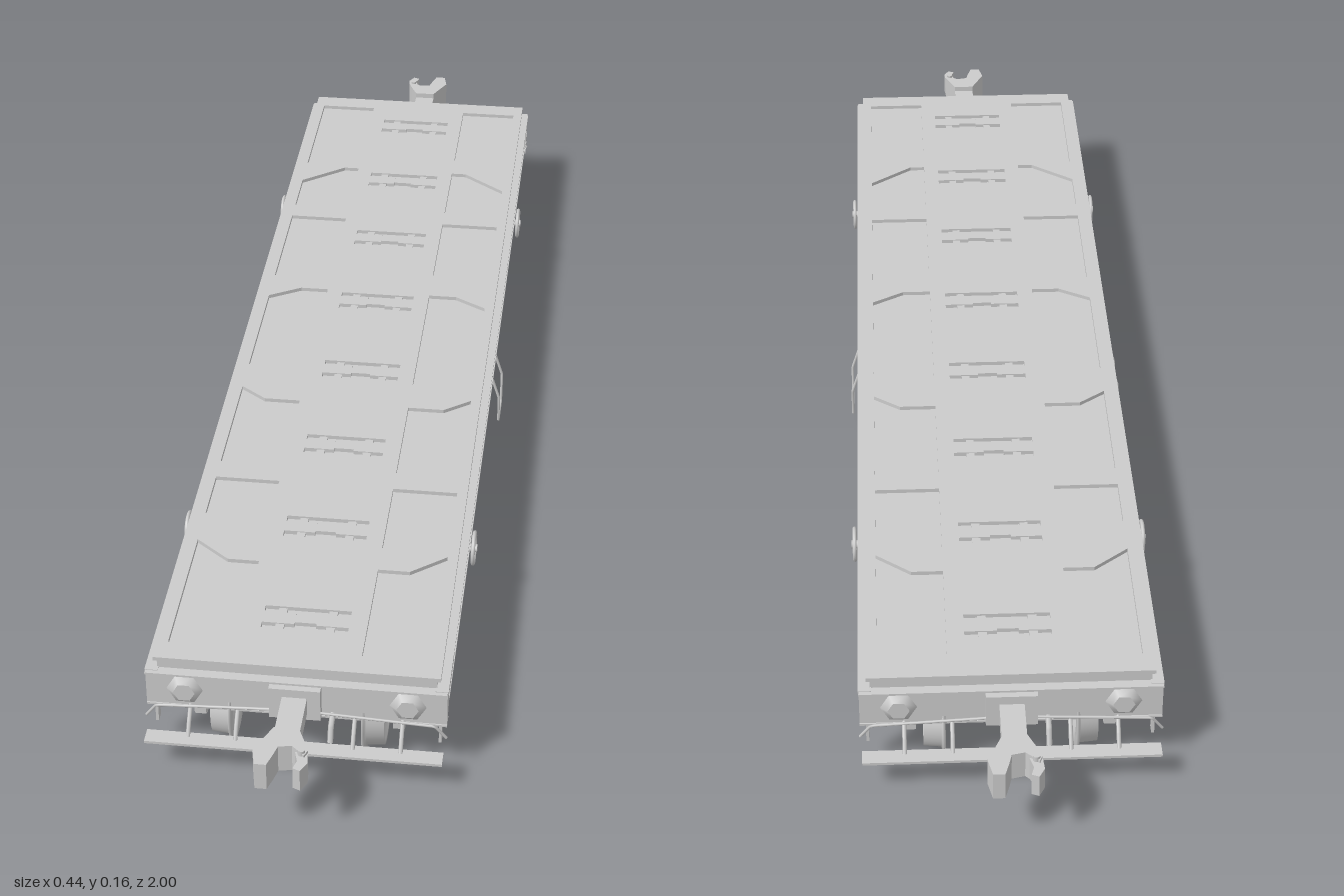
import * as THREE from 'three';

const grey = new THREE.MeshStandardMaterial({ color: 0xcccccc, side: THREE.DoubleSide });

function add(parent, name, geometry, x = 0, y = 0, z = 0) {
  const mesh = new THREE.Mesh(geometry, grey);
  mesh.name = name;
  mesh.position.set(x, y, z);
  parent.add(mesh);
  return mesh;
}
const box = (parent, name, w, h, d, x, y, z) => add(parent, name, new THREE.BoxGeometry(w, h, d), x, y, z);
const points = (list) => list.map(([x, y]) => new THREE.Vector2(x, y));
const shapeOf = (list) => new THREE.Shape(points(list));
const extrude = (shape, depth) => new THREE.ExtrudeGeometry(shape, { depth, bevelEnabled: false, curveSegments: 12 });
// Plan shape (x, z) laid flat, thickness upwards
const flat = (shape, depth) => extrude(shape, depth).rotateX(-Math.PI / 2);
// Side profile (z, y) extruded along x
const side = (shape, depth) => extrude(shape, depth).rotateY(-Math.PI / 2).translate(depth / 2, 0, 0);
// Cylinder whose axis runs along x
const roller = (r, length, segments = 24) => new THREE.CylinderGeometry(r, r, length, segments).rotateZ(Math.PI / 2);
const tube = (pts, r, closed = false) => {
  const path = new THREE.CurvePath();
  const v = pts.map((p) => new THREE.Vector3(...p));
  for (let i = 0; i < v.length - 1; i++) path.add(new THREE.LineCurve3(v[i], v[i + 1]));
  if (closed) path.add(new THREE.LineCurve3(v[v.length - 1], v[0]));
  return new THREE.TubeGeometry(path, v.length * 10, r, 6, closed);
};

function buildDeck(group) {
  const plate = shapeOf([[-0.195, -0.835], [0.195, -0.835], [0.195, 0.835], [-0.195, 0.835]]);
  // Pockets along both edges, mirrored in x and z
  const pockets = [
    [[0.085, 0.61], [0.13, 0.61], [0.18, 0.57], [0.18, 0.8], [0.085, 0.8]],
    [[0.085, 0.415], [0.18, 0.415], [0.18, 0.505], [0.11, 0.56], [0.085, 0.56]],
    [[0.085, 0.2], [0.14, 0.2], [0.18, 0.17], [0.18, 0.375], [0.085, 0.375]],
  ];
  const middle = [[0.085, -0.135], [0.13, -0.135], [0.18, -0.105], [0.18, 0.105], [0.13, 0.135], [0.085, 0.135]];
  const hole = (list, sx, sz) => plate.holes.push(new THREE.Path(points(list.map(([x, z]) => [x * sx, z * sz]))));
  for (const sx of [-1, 1]) {
    for (const sz of [-1, 1]) pockets.forEach((p) => hole(p, sx, sz));
    hole(middle, sx, 1);
  }
  // Paired lashing slots joined by two webs, down the centre line
  const half = [[0, 0.008], [0.015, 0.008], [0.015, 0.012], [0.06, 0.012], [0.06, 0.024], [0, 0.024]];
  for (let i = 0; i < 8; i++) {
    const z = (i - 3.5) * 0.209;
    for (const s of [-1, 1]) {
      const h = half.map(([x, y]) => [x, z + s * y]);
      const left = half.slice(1, 5).reverse().map(([x, y]) => [-x, z + s * y]);
      hole([...h.slice(1, 5), ...left], 1, 1);
    }
    for (const x of [-0.035, 0.035]) box(group, 'lashingBar', 0.012, 0.005, 0.045, x, 0.157, z);
  }
  add(group, 'deckPlate', flat(plate, 0.006), 0, 0.155, 0);
  box(group, 'deckFloor', 0.38, 0.014, 1.664, 0, 0.148, 0);
}

function buildFrame(group) {
  box(group, 'underfloor', 0.4, 0.004, 1.66, 0, 0.14, 0);
  box(group, 'centreSill', 0.09, 0.045, 1.66, 0, 0.117, 0);
  // Fishbelly spine, shorter along its bottom edge
  const spine = extrude(shapeOf([[-0.078, 0.024], [0.078, 0.024], [0.115, 0.14], [-0.115, 0.14]]), 1).translate(0, 0, -0.5);
  const p = spine.attributes.position;
  for (let i = 0; i < p.count; i++) if (p.getY(i) < 0.1) p.setZ(i, p.getZ(i) * 0.86);
  spine.computeVertexNormals();
  add(group, 'fishbellySpine', spine);
  for (const s of [-1, 1]) {
    // Channel shaped side sill
    box(group, 'sideSillWeb', 0.006, 0.024, 1.67, s * 0.196, 0.13, 0);
    box(group, 'sideSillTopFlange', 0.018, 0.004, 1.68, s * 0.197, 0.141, 0);
    box(group, 'sideSillBottomFlange', 0.016, 0.004, 1.64, s * 0.198, 0.118, 0);
    // Low side rail hung on posts
    box(group, 'lowerSideRail', 0.005, 0.012, 0.92, s * 0.198, 0.079, 0);
    box(group, 'lowerRailLip', 0.014, 0.003, 0.92, s * 0.194, 0.074, 0);
    for (const z of [-0.44, -0.37, -0.26, -0.15, -0.05, 0.05, 0.15, 0.26, 0.37, 0.44])
      box(group, 'railPost', 0.005, 0.038, Math.abs(z) === 0.44 ? 0.04 : 0.025, s * 0.198, 0.1, z);
    // Tapered cross bearers with foot flanges
    for (let i = -3; i <= 3; i++) {
      const z = i * 0.148;
      const web = extrude(shapeOf([[0, 0.022], [s * 0.085, 0.022], [s * 0.195, 0.1], [s * 0.195, 0.14], [0, 0.14]]), 0.006);
      add(group, 'crossBearer', web, 0, 0, z - 0.003);
      const flange = box(group, 'bearerFlange', 0.135, 0.003, 0.022, s * 0.14, 0.061, z);
      flange.rotation.z = s * Math.atan2(0.078, 0.11);
    }
    // Step loop at mid length
    add(group, 'stepLoop', tube([[s * 0.203, 0.12, 0.035], [s * 0.216, 0.08, 0.035], [s * 0.216, 0.032, 0.03],
      [s * 0.216, 0.032, -0.03], [s * 0.216, 0.08, -0.035], [s * 0.203, 0.12, -0.035]], 0.0022));
    // Brake handwheels
    for (const z of [-0.48, 0.48]) {
      add(group, 'handwheelRim', new THREE.TorusGeometry(0.023, 0.003, 8, 28).rotateY(Math.PI / 2), s * 0.211, 0.112, z);
      add(group, 'handwheelHub', roller(0.006, 0.02, 12), s * 0.206, 0.112, z);
      for (let k = 0; k < 2; k++) {
        const spoke = box(group, 'handwheelSpoke', 0.003, 0.045, 0.004, s * 0.211, 0.112, z);
        spoke.rotation.x = (k + 0.5) * Math.PI / 2;
      }
    }
    for (const z of [-0.64, -0.3, 0.3, 0.64]) box(group, 'stakeBracket', 0.006, 0.014, 0.012, s * 0.202, 0.13, z);
  }
  // Brake gear beside the spine
  add(group, 'brakeReservoir', new THREE.CylinderGeometry(0.022, 0.022, 0.1, 20).rotateX(Math.PI / 2), 0.155, 0.105, 0.22);
  add(group, 'brakeCylinder', new THREE.CylinderGeometry(0.02, 0.02, 0.08, 20).rotateX(Math.PI / 2), -0.155, 0.105, -0.22);
}

function buildBogie() {
  const bogie = new THREE.Group();
  bogie.name = 'bogie';
  const wheelProfile = points([[0.012, -0.016], [0.02, -0.016], [0.024, -0.008], [0.044, -0.008], [0.046, -0.014],
    [0.054, -0.014], [0.056, 0.01], [0.064, 0.012], [0.064, 0.016], [0.044, 0.016], [0.04, 0.006], [0.02, 0.006], [0.012, 0.016]]);
  // Cast side frame with raised centre and a spring window
  const frame = shapeOf([[-0.155, 0.05], [-0.145, 0.044], [-0.1, 0.044], [-0.06, 0.026], [0.06, 0.026], [0.1, 0.044],
    [0.145, 0.044], [0.155, 0.05], [0.155, 0.082], [0.1, 0.094], [0.06, 0.106], [-0.06, 0.106], [-0.1, 0.094], [-0.155, 0.082]]);
  frame.holes.push(new THREE.Path(points([[-0.045, 0.04], [0.045, 0.04], [0.045, 0.084], [-0.045, 0.084]])));
  for (const z of [-0.124, 0.124]) {
    add(bogie, 'axle', roller(0.013, 0.29), 0, 0.065, z);
    for (const s of [-1, 1]) {
      const wheel = new THREE.LatheGeometry(wheelProfile, 36).rotateZ(s * Math.PI / 2);
      add(bogie, 'wheel', wheel, s * 0.105, 0.0645, z);
      add(bogie, 'axleBox', roller(0.02, 0.028, 16), s * 0.141, 0.065, z);
      add(bogie, 'axleCap', roller(0.011, 0.008, 12), s * 0.157, 0.065, z);
      box(bogie, 'brakeBlock', 0.022, 0.035, 0.012, s * 0.108, 0.065, z - Math.sign(z) * 0.067);
    }
    box(bogie, 'brakeBeam', 0.22, 0.01, 0.01, 0, 0.06, z * 0.42);
  }
  for (const s of [-1, 1]) {
    add(bogie, 'sideFrame', side(frame, 0.016), s * 0.137, 0, 0);
    box(bogie, 'springSeat', 0.04, 0.006, 0.1, s * 0.137, 0.037, 0);
    for (const z of [-0.03, 0, 0.03])
      add(bogie, 'spring', new THREE.CylinderGeometry(0.009, 0.009, 0.042, 12), s * 0.14, 0.061, z);
    box(bogie, 'frameLug', 0.01, 0.03, 0.012, s * 0.15, 0.065, 0.07);
    box(bogie, 'frameLug', 0.01, 0.03, 0.012, s * 0.15, 0.065, -0.07);
  }
  const bolster = shapeOf([[-0.13, 0.075], [-0.08, 0.05], [-0.04, 0.022], [0.04, 0.022], [0.08, 0.05], [0.13, 0.075], [0.13, 0.1], [-0.13, 0.1]]);
  add(bogie, 'bolster', extrude(bolster, 0.06), 0, 0, -0.03);
  add(bogie, 'centrePivot', new THREE.CylinderGeometry(0.035, 0.035, 0.02, 20), 0, 0.104, 0);
  return bogie;
}

// One end of the wagon, facing +z
function buildEnd() {
  const end = new THREE.Group();
  end.name = 'wagonEnd';
  const bogie = buildBogie();
  bogie.position.z = 0.66;
  end.add(bogie);
  box(end, 'endBeam', 0.41, 0.056, 0.012, 0, 0.113, 0.834);
  box(end, 'endBeamTopFlange', 0.41, 0.003, 0.024, 0, 0.1405, 0.834);
  box(end, 'endBeamBottomFlange', 0.41, 0.003, 0.02, 0, 0.085, 0.832);
  for (const s of [-1, 1]) {
    const pad = new THREE.CylinderGeometry(0.015, 0.025, 0.008, 6).rotateX(Math.PI / 2).rotateZ(Math.PI / 2);
    add(end, 'bufferPad', pad, s * 0.152, 0.113, 0.844);
    const corner = shapeOf([[0.84, 0.084], [0.84, 0.14], [0.74, 0.14], [0.74, 0.118], [0.8, 0.118]]);
    add(end, 'cornerGusset', side(corner, 0.006), s * 0.202, 0, 0);
    // Hangers for the footboard
    for (const x of [0.08, 0.145])
      add(end, 'footboardHanger', tube([[s * x, 0.09, 0.835], [s * x, 0.07, 0.855], [s * x, 0.053, 0.868]], 0.003));
    add(end, 'uncouplingLever', tube([[s * 0.03, 0.1, 0.852], [s * 0.19, 0.092, 0.852], [s * 0.205, 0.07, 0.848]], 0.002));
    box(end, 'stepStrap', 0.004, 0.05, 0.014, s * 0.195, 0.067, 0.82);
  }
  box(end, 'footboard', 0.405, 0.004, 0.024, 0, 0.052, 0.872);
  // Coupler: draft pocket, tapered shank and forked head
  box(end, 'draftPocket', 0.07, 0.05, 0.016, 0, 0.113, 0.846);
  box(end, 'shank', 0.034, 0.026, 0.1, 0, 0.112, 0.895);
  const head = shapeOf([[-0.017, -0.925], [0.017, -0.925], [0.026, -0.945], [0.034, -0.965], [0.03, -0.975], [0.012, -0.958],
    [-0.006, -0.962], [-0.01, -0.978], [-0.016, -0.998], [-0.032, -0.998], [-0.038, -0.97], [-0.026, -0.945]].reverse());
  add(end, 'couplerHead', flat(head, 0.042), 0, 0.092, 0);
  const knuckle = shapeOf([[0.017, -0.965], [0.034, -0.965], [0.036, -0.985], [0.028, -1], [0.018, -0.996], [0.022, -0.982]].reverse());
  add(end, 'couplerKnuckle', flat(knuckle, 0.034), 0, 0.096, 0);
  add(end, 'knucklePin', new THREE.CylinderGeometry(0.005, 0.005, 0.052, 10), 0.026, 0.112, 0.968);
  add(end, 'brakeHose', tube([[0.05, 0.09, 0.84], [0.05, 0.085, 0.86], [0.05, 0.065, 0.87]], 0.004));
  return end;
}

export function createModel() {
  const model = new THREE.Group();
  model.name = 'flatWagon';
  buildDeck(model);
  buildFrame(model);
  for (const turn of [0, Math.PI]) {
    const end = buildEnd();
    end.rotation.y = turn;
    model.add(end);
  }
  return model;
}
